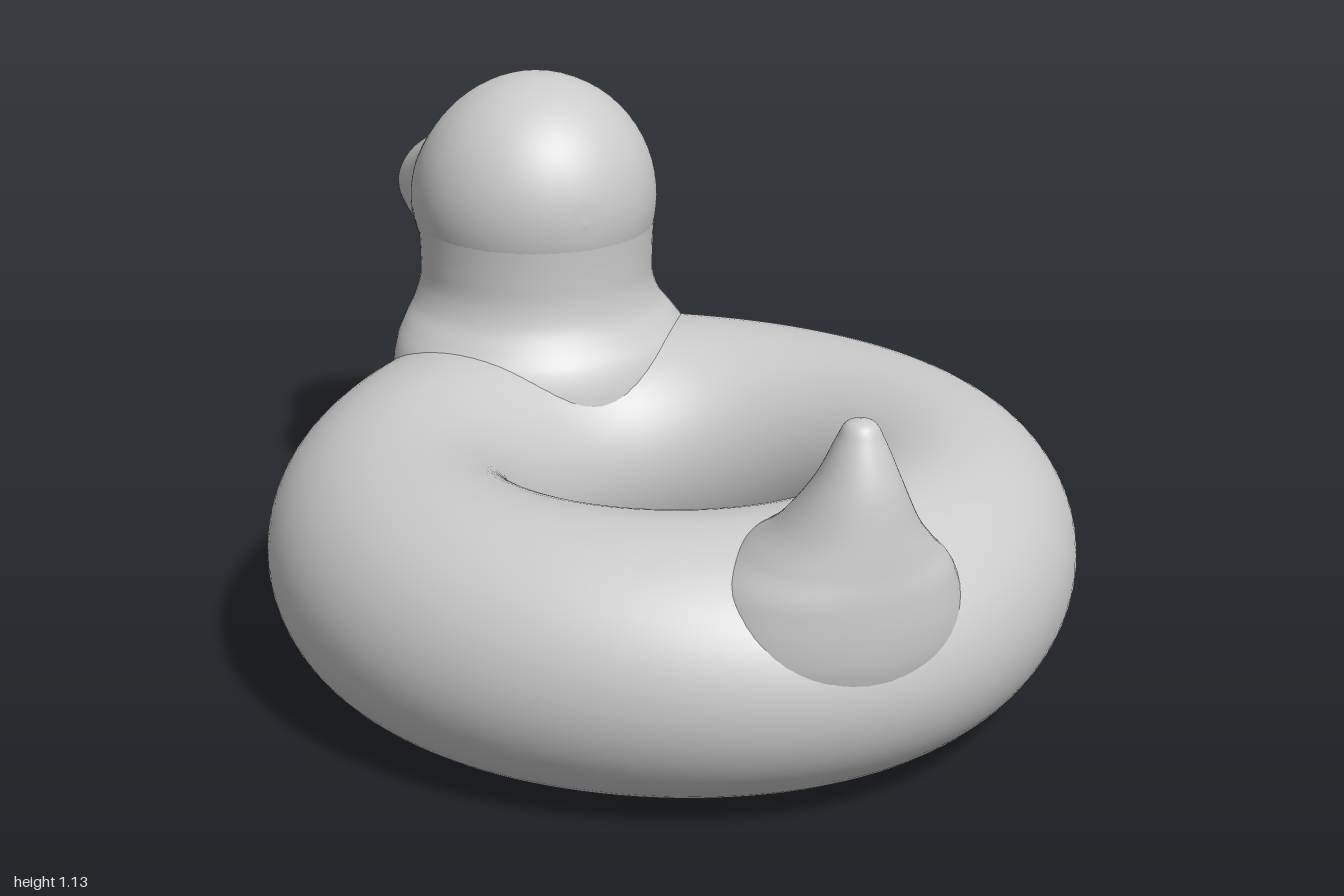
import * as THREE from 'three';

const material = new THREE.MeshStandardMaterial({ color: 0xcccccc });
const CENTRE_X = 0.137, RING = 0.578, TUBE = 0.279;

// Smooth skin through oval sections [along, centre, radiusA, radiusB].
// place(along, centre, a, b) puts a section point into space.
function loft(sections, place, steps = 72, sides = 64) {
  const spline = (k) => new THREE.CatmullRomCurve3(
    sections.map((s) => new THREE.Vector3(s[0], s[1], s[k])));
  const curveA = spline(2), curveB = spline(3);
  const positions = [], index = [];
  for (let i = 0; i <= steps; i++) {
    const a = curveA.getPoint(i / steps), b = curveB.getPoint(i / steps);
    for (let j = 0; j < sides; j++) {
      const t = (j / sides) * Math.PI * 2;
      positions.push(...place(a.x, a.y, a.z * Math.cos(t), b.z * Math.sin(t)));
      if (i === steps) continue;
      const p = i * sides + j, q = i * sides + ((j + 1) % sides);
      index.push(p, p + sides, q, q, p + sides, q + sides);
    }
  }
  const geometry = new THREE.BufferGeometry();
  geometry.setAttribute('position', new THREE.Float32BufferAttribute(positions, 3));
  geometry.setIndex(index);
  geometry.computeVertexNormals();
  return geometry;
}

const upright = (y, c, a, b) => [c + a, y, b];
const forward = (x, c, a, b) => [x, c + a, -b];

// Inflated ring, swollen outward at the chest (+x) and under the tail (-x)
function ringGeometry() {
  const around = 128, sides = 64, positions = [], index = [];
  for (let i = 0; i < around; i++) {
    const phi = (i / around) * Math.PI * 2;
    const fromTail = Math.PI - Math.abs(phi - Math.PI);
    const chest = 0.125 * Math.exp(-((fromTail / 0.54) ** 2));
    const rump = 0.04 * Math.exp(-(((Math.PI - fromTail) / 0.5) ** 2));
    for (let j = 0; j < sides; j++) {
      const t = (j / sides) * Math.PI * 2;
      const swell = chest * Math.max(0, Math.cos(t - 0.4)) ** 1.5 + rump * Math.max(0, Math.cos(t)) ** 1.5;
      const r = RING + TUBE * Math.cos(t) + swell;
      positions.push(r * Math.cos(phi), TUBE + TUBE * Math.sin(t), r * Math.sin(phi));
      const ni = ((i + 1) % around) * sides, nj = (j + 1) % sides, p = i * sides;
      index.push(p + j, p + nj, ni + j, ni + j, p + nj, ni + nj);
    }
  }
  const geometry = new THREE.BufferGeometry();
  geometry.setAttribute('position', new THREE.Float32BufferAttribute(positions, 3));
  geometry.setIndex(index);
  geometry.computeVertexNormals();
  return geometry;
}

// Round head that tapers into a broad bill
function headGeometry() {
  const sections = [];
  for (let k = 0; k <= 8; k++) {
    const t = (k / 8) * Math.PI / 2;
    sections.push([0.71 - 0.275 * Math.cos(t), 0.85, 0.28 * Math.sin(t), 0.275 * Math.sin(t)]);
  }
  sections.push(
    [0.78, 0.847, 0.274, 0.268],
    [0.86, 0.832, 0.247, 0.246],
    [0.95, 0.81, 0.205, 0.215],
    [1.03, 0.795, 0.168, 0.191],
    [1.13, 0.78, 0.137, 0.17],
    [1.20, 0.772, 0.111, 0.149],
    [1.25, 0.77, 0.08, 0.112],
    [1.277, 0.77, 0.043, 0.06],
    [1.285, 0.77, 0, 0]);
  return loft(sections, forward, 120);
}

// Neck flaring down into the ring
const neckSections = [
  [0.28, 0.65, 0.28, 0.30],
  [0.38, 0.655, 0.30, 0.34],
  [0.47, 0.665, 0.303, 0.355],
  [0.53, 0.68, 0.298, 0.34],
  [0.57, 0.695, 0.285, 0.315],
  [0.61, 0.707, 0.276, 0.286],
  [0.66, 0.71, 0.268, 0.268],
  [0.72, 0.71, 0.266, 0.266],
  [0.85, 0.71, 0.272, 0.272],
];

// Pointed tail with a wide base
const tailSections = [
  [0.25, 0.67, 0.20, 0.25],
  [0.36, 0.68, 0.22, 0.28],
  [0.48, 0.695, 0.207, 0.245],
  [0.54, 0.72, 0.175, 0.19],
  [0.60, 0.755, 0.132, 0.138],
  [0.70, 0.787, 0.082, 0.082],
  [0.78, 0.792, 0.046, 0.046],
  [0.812, 0.792, 0.028, 0.028],
  [0.822, 0.792, 0, 0],
];

export function createModel() {
  const model = new THREE.Group();
  model.name = 'duckSwimRing';

  // The duck faces diagonally, so its parts share a turned frame
  const duck = new THREE.Group();
  duck.name = 'duck';
  duck.position.x = CENTRE_X;
  duck.rotation.y = Math.PI - 0.535;
  model.add(duck);

  const add = (name, geometry) => {
    const mesh = new THREE.Mesh(geometry, material);
    mesh.name = name;
    duck.add(mesh);
    return mesh;
  };
  add('ring', ringGeometry());
  add('neck', loft(neckSections, upright));
  add('headAndBill', headGeometry());
  add('tail', loft(tailSections, upright)).rotation.y = Math.PI;
  return model;
}
